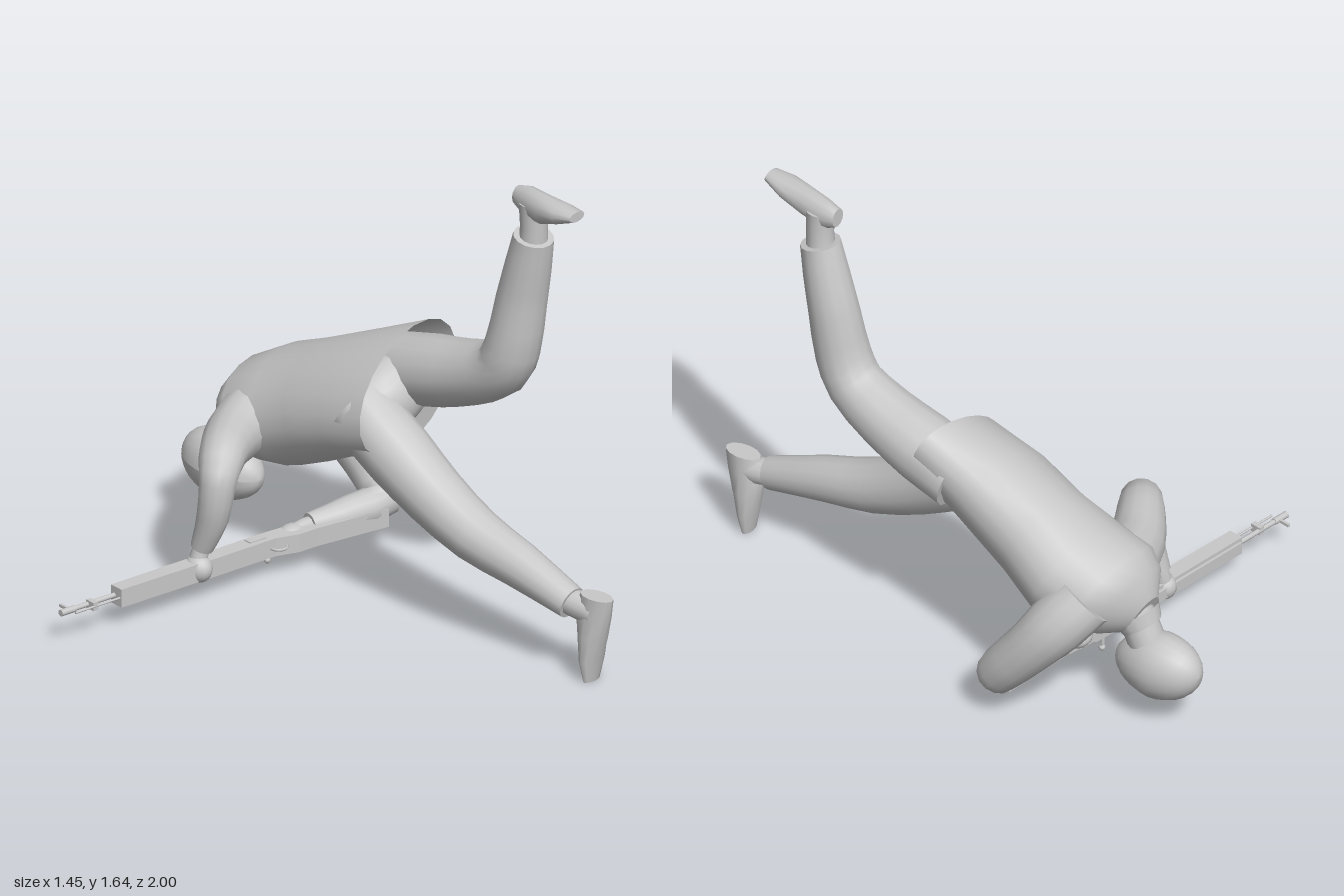
import * as THREE from 'three';

const V = (a) => new THREE.Vector3(...a);
const grey = new THREE.MeshStandardMaterial({ color: 0xc8c8c8, side: THREE.DoubleSide });
grey.name = 'light grey';

// Skin over elliptical rings { c: centre, u and v: half axes }
function loft(rings, { sides = 14, capStart = true, capEnd = true } = {}) {
  const pos = [], idx = [];
  const mid = Math.floor((rings.length - 1) / 2);
  const flip = rings[mid].u.clone().cross(rings[mid].v)
    .dot(rings[mid + 1].c.clone().sub(rings[mid].c)) < 0;
  const tri = (a, b, c) => (flip ? idx.push(a, c, b) : idx.push(a, b, c));
  const addRing = ({ c, u, v }) => {
    const start = pos.length / 3;
    for (let i = 0; i < sides; i++) {
      const t = (i / sides) * Math.PI * 2;
      const p = c.clone().addScaledVector(u, Math.cos(t)).addScaledVector(v, Math.sin(t));
      pos.push(p.x, p.y, p.z);
    }
    return start;
  };
  const starts = rings.map(addRing);
  for (let r = 0; r < rings.length - 1; r++) {
    for (let i = 0; i < sides; i++) {
      const j = (i + 1) % sides, a = starts[r], b = starts[r + 1];
      tri(a + i, a + j, b + j);
      tri(a + i, b + j, b + i);
    }
  }
  const cap = (ring, end) => {
    const s = addRing(ring), m = pos.length / 3;
    pos.push(ring.c.x, ring.c.y, ring.c.z);
    for (let i = 0; i < sides; i++) {
      const j = (i + 1) % sides;
      if (end) tri(m, s + i, s + j); else tri(m, s + j, s + i);
    }
  };
  if (capStart) cap(rings[0], false);
  if (capEnd) cap(rings[rings.length - 1], true);
  const g = new THREE.BufferGeometry();
  g.setAttribute('position', new THREE.Float32BufferAttribute(pos, 3));
  g.setIndex(idx);
  g.computeVertexNormals();
  return g;
}

// Round limb through stations [x, y, z, radius]
function limb(stations, sides = 14) {
  const curve = new THREE.CatmullRomCurve3(stations.map((s) => V(s.slice(0, 3))));
  const n = (stations.length - 1) * 2, rings = [];
  let u = new THREE.Vector3(0.9, 0.1, 0.4);
  for (let i = 0; i <= n; i++) {
    const t = curve.getTangent(i / n), k = Math.floor(i / 2);
    const r = i % 2 ? (stations[k][3] + stations[k + 1][3]) / 2 : stations[k][3];
    u = u.clone().addScaledVector(t, -u.dot(t)).normalize();
    rings.push({
      c: curve.getPoint(i / n), u: u.clone().multiplyScalar(r),
      v: t.clone().cross(u).multiplyScalar(r),
    });
  }
  return loft(rings, { sides });
}

const rings = (list) => list.map(([c, u, v]) => ({ c: V(c), u: V(u), v: V(v) }));

export function createModel() {
  const root = new THREE.Group();
  root.name = 'crawlingFigure';
  const add = (name, geometry, parent = root) => {
    const m = new THREE.Mesh(geometry, grey);
    m.name = name;
    parent.add(m);
    return m;
  };
  const ball = (name, p, s, rot = [0, 0, 0]) => {
    const m = add(name, new THREE.SphereGeometry(1, 16, 12));
    m.position.set(...p);
    m.scale.set(...s);
    m.rotation.set(...rot);
    return m;
  };

  // Jacket, open at the hem
  add('jacket', loft(rings([
    [[0.347, 0.775, 0.01], [0.232, 0.1, 0], [0.02, 0.156, -0.06]],
    [[0.355, 0.69, -0.19], [0.225, 0.07, 0], [0, 0.165, -0.07]],
    [[0.375, 0.597, -0.38], [0.212, 0.045, 0], [0, 0.18, -0.07]],
    [[0.39, 0.53, -0.53], [0.235, 0.03, 0], [0, 0.178, -0.085]],
    [[0.38, 0.487, -0.65], [0.225, 0.01, 0], [0, 0.158, -0.085]],
    [[0.36, 0.455, -0.72], [0.165, 0, 0], [0, 0.125, -0.06]],
    [[0.345, 0.41, -0.77], [0.075, 0, 0], [0, 0.07, -0.03]],
  ]), { sides: 20, capStart: false }));
  ball('pelvis', [0.36, 0.71, -0.1], [0.2, 0.13, 0.12], [0, 0, 0.35]);

  // Neck, collar and head
  add('neck', limb([[0.35, 0.43, -0.72, 0.07], [0.345, 0.36, -0.76, 0.065], [0.34, 0.26, -0.8, 0.065]]));
  const collar = add('collar', new THREE.CylinderGeometry(0.072, 0.088, 0.05, 14, 1, true));
  collar.position.set(0.345, 0.385, -0.752);
  collar.rotation.x = -2.55;
  const headShape = new THREE.SphereGeometry(1, 20, 16);
  headShape.rotateX(-Math.PI / 2);
  const hp = headShape.attributes.position;
  for (let i = 0; i < hp.count; i++) { // narrower towards the chin
    const z = hp.getZ(i), f = 1 - 0.13 * Math.max(0, z);
    hp.setXYZ(i, hp.getX(i) * 0.106 * f, hp.getY(i) * 0.123 * f - 0.012 * z, z * 0.168);
  }
  headShape.computeVertexNormals();
  add('head', headShape).position.set(0.342, 0.228, -0.832);

  // Legs: left one raised, right one pushing back
  add('leftLeg', limb([
    [0.465, 0.77, -0.1, 0.125], [0.46, 0.815, 0.06, 0.124], [0.45, 0.865, 0.22, 0.112],
    [0.437, 0.935, 0.36, 0.1], [0.432, 1.03, 0.413, 0.096], [0.443, 1.2, 0.442, 0.088],
    [0.443, 1.34, 0.474, 0.08], [0.44, 1.46, 0.502, 0.07],
  ]));
  add('rightLeg', limb([
    [0.25, 0.69, -0.12, 0.12], [0.252, 0.575, 0.06, 0.12], [0.255, 0.475, 0.22, 0.108],
    [0.26, 0.385, 0.41, 0.095], [0.268, 0.335, 0.6, 0.08], [0.277, 0.265, 0.83, 0.058],
  ]));

  // Feet, heel to toe
  add('leftAnkle', limb([[0.44, 1.43, 0.5, 0.05], [0.438, 1.5, 0.505, 0.047], [0.435, 1.59, 0.505, 0.05]]));
  add('leftFoot', loft(rings([
    [[0.44, 1.59, 0.43], [0.03, 0, 0], [0, 0.035, 0]],
    [[0.437, 1.583, 0.48], [0.042, 0, 0], [0, 0.056, 0]],
    [[0.42, 1.588, 0.57], [0.048, 0, 0], [0, 0.053, 0]],
    [[0.41, 1.604, 0.66], [0.052, 0, 0], [0, 0.036, 0]],
    [[0.404, 1.617, 0.735], [0.036, 0, 0], [0, 0.018, 0]],
  ]), { sides: 12 }));
  add('rightAnkle', limb([[0.277, 0.27, 0.81, 0.046], [0.285, 0.262, 0.87, 0.048], [0.29, 0.255, 0.93, 0.045]]));
  add('rightFoot', loft(rings([
    [[0.292, 0.318, 0.932], [0.038, 0, 0], [0, 0, 0.068]],
    [[0.292, 0.25, 0.918], [0.046, 0, 0], [0, 0, 0.07]],
    [[0.292, 0.17, 0.913], [0.054, 0, 0], [0, 0, 0.053]],
    [[0.29, 0.08, 0.91], [0.054, 0, 0], [0, 0, 0.031]],
    [[0.288, 0.004, 0.91], [0.036, 0, 0], [0, 0, 0.016]],
  ]), { sides: 12 }));

  // Arms
  add('leftArm', limb([
    [0.52, 0.53, -0.65, 0.11], [0.595, 0.45, -0.6, 0.105], [0.63, 0.33, -0.51, 0.09],
    [0.64, 0.2, -0.4, 0.08], [0.61, 0.15, -0.365, 0.072], [0.48, 0.14, -0.385, 0.06],
    [0.33, 0.133, -0.425, 0.042],
  ]));
  add('rightArm', limb([
    [0.27, 0.5, -0.62, 0.12], [0.13, 0.49, -0.58, 0.1], [0, 0.5, -0.505, 0.085],
    [-0.085, 0.49, -0.445, 0.074], [-0.118, 0.43, -0.428, 0.063], [-0.122, 0.31, -0.445, 0.056],
    [-0.132, 0.19, -0.485, 0.04],
  ]));

  // Hands with thumbs
  add('rightWrist', limb([[-0.132, 0.21, -0.48, 0.026], [-0.14, 0.17, -0.488, 0.03], [-0.148, 0.13, -0.49, 0.035]], 10));
  ball('rightHand', [-0.15, 0.118, -0.485], [0.045, 0.05, 0.052]);
  ball('rightThumb', [-0.18, 0.115, -0.51], [0.03, 0.016, 0.018], [0, 0, 0.4]);
  add('leftWrist', limb([[0.35, 0.134, -0.42, 0.03], [0.31, 0.133, -0.43, 0.03], [0.27, 0.125, -0.435, 0.03]], 10));
  ball('leftHand', [0.255, 0.122, -0.435], [0.055, 0.036, 0.045]);
  ball('leftIndexFinger', [0.19, 0.125, -0.425], [0.035, 0.012, 0.014]);

  // Rifle lying on its side: x along the barrel, local top faces -z
  const rifle = new THREE.Group();
  rifle.name = 'rifle';
  rifle.position.set(0, 0.115, -0.47);
  rifle.rotation.y = -0.14;
  root.add(rifle);
  const slab = (name, points, thick) => {
    const g = new THREE.ExtrudeGeometry(new THREE.Shape(points.map((p) => new THREE.Vector2(...p))),
      { depth: thick, bevelEnabled: false });
    g.translate(0, 0, -thick / 2);
    g.rotateX(-Math.PI / 2);
    return add(name, g, rifle);
  };
  slab('stock', [[-0.5, -0.03], [-0.15, -0.035], [0.16, -0.035], [0.24, -0.06], [0.32, -0.06],
    [0.6, -0.09], [0.61, 0.02], [0.33, 0.012], [0.24, 0.02], [0.16, 0.025], [-0.5, 0.025]], 0.066);
  slab('handguard', [[-0.49, 0.024], [0.05, 0.024], [0.04, 0.036], [-0.49, 0.034]], 0.04);
  slab('receiver', [[0.04, 0.02], [0.23, 0.018], [0.21, 0.04], [0.05, 0.045]], 0.045);
  const rod = (name, x0, x1, v, r) => {
    const m = add(name, new THREE.CylinderGeometry(r, r, x1 - x0, 10), rifle);
    m.rotation.z = Math.PI / 2;
    m.position.set((x0 + x1) / 2, 0, -v);
    return m;
  };
  rod('barrel', -0.73, -0.45, 0.008, 0.009);
  rod('muzzle', -0.73, -0.67, 0.008, 0.012);
  rod('cleaningRod', -0.69, -0.48, -0.022, 0.004);
  const box = (name, x, y, v, w, h, d) => {
    add(name, new THREE.BoxGeometry(w, h, d), rifle).position.set(x, y, -v);
  };
  box('frontSight', -0.69, 0, 0.035, 0.01, 0.01, 0.05);
  box('barrelBand', -0.605, 0, -0.005, 0.02, 0.03, 0.04);
  box('sidePlate', 0.1, 0.033, 0, 0.07, 0.008, 0.03);
  box('rearSight', 0.0, 0, 0.04, 0.03, 0.02, 0.02);
  for (const x of [-0.3, -0.42]) box('slingLoop', x, -0.036, -0.01, 0.025, 0.012, 0.014);

  // Bolt handle and trigger guard
  box('boltHandle', 0.17, -0.035, 0.025, 0.012, 0.07, 0.012);
  const knob = add('boltKnob', new THREE.SphereGeometry(0.012, 8, 6), rifle);
  knob.position.set(0.17, -0.072, -0.025);
  const guard = add('triggerGuard', new THREE.TorusGeometry(0.03, 0.005, 6, 14, Math.PI), rifle);
  guard.rotation.x = Math.PI / 2;
  guard.position.set(0.17, 0, 0.035);
  return root;
}
